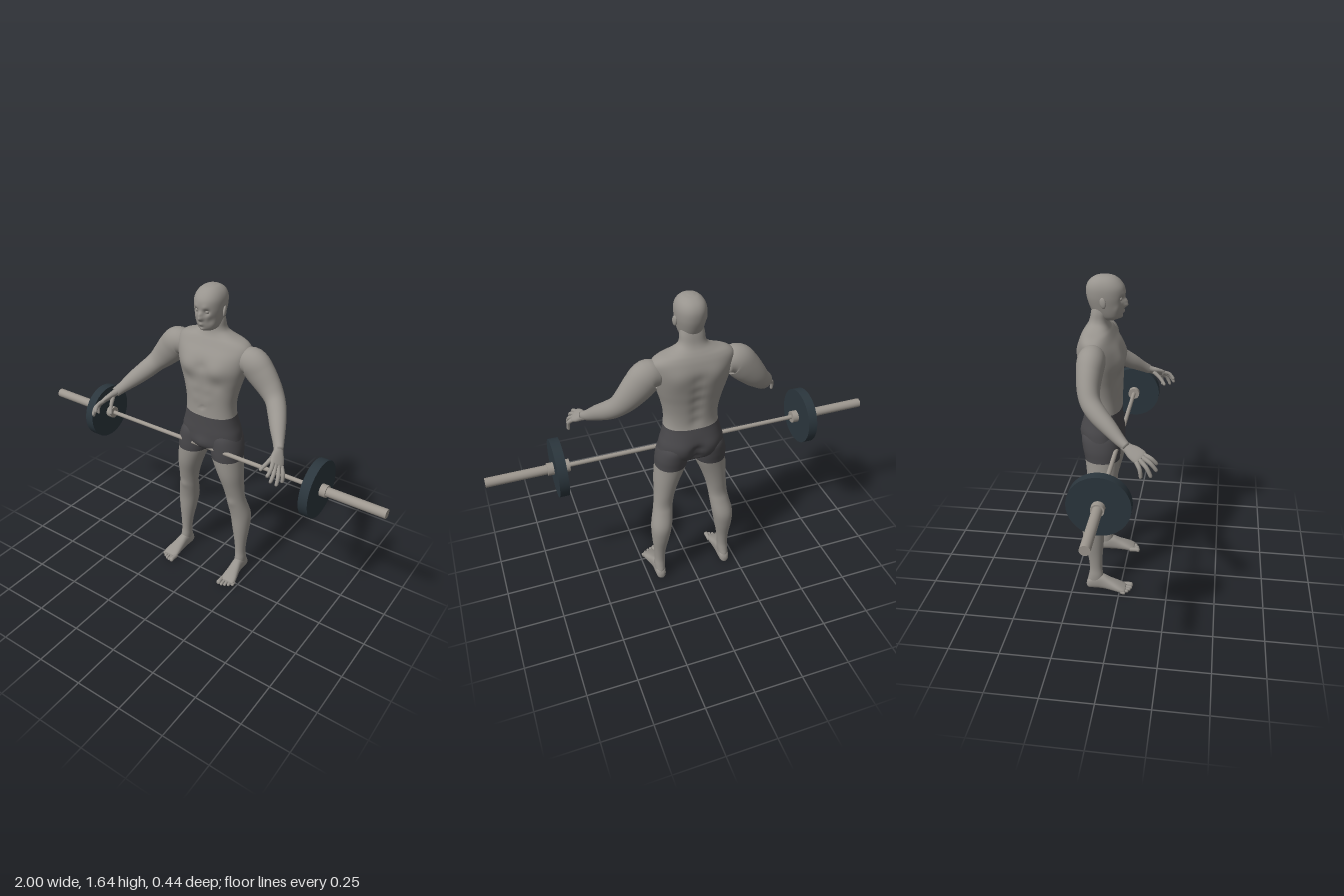
import * as THREE from 'three';

const V3 = (x, y, z) => new THREE.Vector3(x, y, z);
const material = (name, color) => { const m = new THREE.MeshStandardMaterial({ color }); m.name = name; return m; };
const UP = V3(0, 1, 0), FORWARD = V3(0, 0, 1);

// Skin a run of oval cross-sections [x, y, z, radiusU, radiusV].
// along: fixed ring direction, or null to follow the path. ref: direction of radiusU.
// bumps: [x, y, z, reach, dx, dy, dz] push nearby points. splitY: height of a colour change.
function loft(stations, { along = null, ref = V3(1, 0, 0), sides = 24, sub = 4, n = 2.2, bumps = [], splitY = null } = {}) {
  const centre = new THREE.CatmullRomCurve3(stations.map(s => V3(s[0], s[1], s[2])), false, 'catmullrom');
  const radius = new THREE.CatmullRomCurve3(stations.map(s => V3(s[3], s[4], 0)), false, 'catmullrom');
  const rows = (stations.length - 1) * sub, pos = [], idx = [];
  const pow = c => Math.sign(c) * Math.abs(c) ** (2 / n);
  let splitRow = rows + 2;
  for (let k = -1; k <= rows + 1; k++) {
    const t = Math.min(Math.max(k / rows, 0), 1), c = centre.getPoint(t), r = radius.getPoint(t);
    const T = along ? along.clone() : centre.getTangent(t);
    const U = ref.clone().addScaledVector(T, -ref.dot(T)).normalize(), W = U.clone().cross(T);
    if (k < 0 || k > rows) r.set(0, 0, 0);
    if (splitY !== null && c.y >= splitY) splitRow = Math.min(splitRow, k + 1);
    for (let j = 0; j < sides; j++) {
      const a = j / sides * Math.PI * 2;
      const p = c.clone().addScaledVector(U, r.x * pow(Math.cos(a))).addScaledVector(W, r.y * pow(Math.sin(a)));
      const q = p.clone();
      for (const [x, y, z, reach, dx, dy, dz] of bumps) {
        const f = Math.exp(-p.distanceToSquared(V3(x, y, z)) / (reach * reach));
        q.add(V3(dx * f, dy * f, dz * f));
      }
      pos.push(q.x, q.y, q.z);
    }
  }
  for (let i = 0; i < rows + 2; i++) for (let j = 0; j < sides; j++) {
    const a = i * sides + j, b = i * sides + (j + 1) % sides, d = a + sides, e = b + sides;
    idx.push(a, d, b, d, e, b);
  }
  const g = new THREE.BufferGeometry();
  g.setAttribute('position', new THREE.Float32BufferAttribute(pos, 3));
  g.setIndex(idx);
  g.computeVertexNormals();
  if (splitY !== null) {
    g.addGroup(0, splitRow * sides * 6, 0);
    g.addGroup(splitRow * sides * 6, idx.length - splitRow * sides * 6, 1);
  }
  return g;
}

// Level cross-sections given as [y, centreX, radiusX, frontZ, backZ]
const level = list => list.map(([y, x, rx, f, b]) => [x, y, (f + b) / 2, rx, (f - b) / 2]);
// The same bump on both sides of the body
const both = (x, ...rest) => [[x, ...rest], [-x, ...rest]];

function mirrored(g) {
  const m = g.clone().scale(-1, 1, 1), ix = m.index.array;
  for (let i = 0; i < ix.length; i += 3) [ix[i], ix[i + 1]] = [ix[i + 1], ix[i]];
  return m;
}

export function createModel() {
  const model = new THREE.Group();
  const skin = material('skin', 0x98948e), cloth = material('shorts cloth', 0x48474a);
  const steel = material('steel', 0x9d978f), rubber = material('plate rubber', 0x2b363d);
  const add = (name, g, m, parent = model) => {
    const mesh = new THREE.Mesh(g, m);
    mesh.name = name;
    parent.add(mesh);
    return mesh;
  };
  const pair = (name, g, m) => { add(name + 'Left', g, m); add(name + 'Right', mirrored(g), m); };

  // Torso with the top of the shorts, and the neck
  add('torso', loft(level([
    [0.755, 0, 0.06, -0.06, -0.13], [0.80, 0, 0.16, -0.014, -0.188], [0.87, 0, 0.164, -0.008, -0.205],
    [0.93, 0, 0.148, -0.01, -0.2], [0.99, 0, 0.136, -0.012, -0.188], [1.05, 0, 0.136, -0.012, -0.188],
    [1.12, 0, 0.15, -0.01, -0.196], [1.18, 0, 0.168, -0.006, -0.207], [1.24, 0, 0.185, -0.004, -0.215],
    [1.30, 0, 0.197, -0.018, -0.217], [1.345, 0, 0.198, -0.043, -0.208], [1.372, 0, 0.17, -0.058, -0.197],
    [1.39, 0, 0.115, -0.068, -0.186], [1.408, 0, 0.077, -0.074, -0.174], [1.43, 0, 0.062, -0.076, -0.165],
    [1.465, 0, 0.058, -0.074, -0.158], [1.5, 0, 0.05, -0.078, -0.15],
  ]), {
    along: UP, sides: 64, sub: 5, n: 2.3, splitY: 0.968,
    bumps: [
      ...both(0.085, 1.245, -0.01, 0.055, 0, 0, 0.014),                               // chest
      ...both(0.08, 1.165, -0.005, 0.035, 0, 0, -0.007),
      ...both(0.09, 1.28, -0.21, 0.055, 0, 0, -0.008),                               // shoulder blades
      ...both(0.035, 1.13, 0, 0.025, 0, 0, 0.004), ...both(0.035, 1.07, 0, 0.025, 0, 0, 0.004),
      [0, 1.25, 0, 0.025, 0, 0, -0.008], [0, 1.025, -0.01, 0.01, 0, 0, -0.008],       // breastbone, navel
      ...[1.02, 1.08, 1.14, 1.2, 1.26].map(y => [0, y, -0.2, 0.03, 0, 0, 0.01]),      // spine
      ...both(0.075, 0.865, -0.19, 0.06, 0, 0, -0.014),                              // buttocks
      [0, 0.86, -0.2, 0.025, 0, 0, 0.02], [0, 0.81, -0.19, 0.025, 0, 0, 0.025],
      [0, 0.82, -0.01, 0.035, 0, 0, 0.01],
    ],
  }), [cloth, skin]);

  // Head and face
  add('head', loft(level([
    [1.425, 0, 0.025, -0.045, -0.11], [1.437, 0, 0.042, -0.02, -0.13], [1.46, 0, 0.053, -0.008, -0.15],
    [1.50, 0, 0.063, -0.002, -0.168], [1.54, 0, 0.07, 0.003, -0.179], [1.58, 0, 0.07, 0.001, -0.18],
    [1.61, 0, 0.059, -0.018, -0.166], [1.63, 0, 0.038, -0.045, -0.138], [1.638, 0, 0.012, -0.078, -0.106],
  ]), {
    along: UP, sides: 72, sub: 8,
    bumps: [
      ...both(0.028, 1.53, -0.005, 0.015, 0, 0, -0.013), ...both(0.025, 1.552, 0, 0.014, 0, 0, 0.004),
      ...both(0.045, 1.485, -0.02, 0.02, -0.005, 0, -0.003),
      [0, 1.498, 0, 0.013, 0, 0, 0.021], [0, 1.519, 0, 0.011, 0, 0, 0.013], [0, 1.48, 0, 0.007, 0, 0, -0.004],
      [0, 1.468, -0.005, 0.012, 0, 0, 0.009], [0, 1.455, -0.01, 0.007, 0, 0, -0.004], [0, 1.44, -0.018, 0.014, 0, 0, 0.008],
    ],
  }), skin);
  pair('eye', new THREE.SphereGeometry(0.01, 14, 10).translate(0.027, 1.531, -0.017), skin);
  pair('ear', new THREE.SphereGeometry(1, 16, 12).scale(0.008, 0.026, 0.016).rotateY(0.3).rotateX(-0.15).translate(0.073, 1.52, -0.092), skin);

  // Legs with the legs of the shorts
  pair('leg', loft(level([
    [0.015, 0.186, 0.02, -0.1, -0.165], [0.05, 0.185, 0.026, -0.088, -0.172], [0.085, 0.184, 0.028, -0.09, -0.165],
    [0.13, 0.182, 0.027, -0.095, -0.16], [0.2, 0.18, 0.033, -0.092, -0.168], [0.29, 0.176, 0.046, -0.085, -0.188],
    [0.37, 0.17, 0.054, -0.08, -0.195], [0.45, 0.157, 0.051, -0.066, -0.172], [0.5, 0.15, 0.05, -0.058, -0.16],
    [0.57, 0.14, 0.054, -0.04, -0.164], [0.65, 0.125, 0.066, -0.02, -0.172], [0.74, 0.104, 0.08, -0.01, -0.184],
    [0.8, 0.098, 0.082, -0.009, -0.196], [0.86, 0.09, 0.072, -0.015, -0.2], [0.9, 0.08, 0.05, -0.04, -0.17],
  ]), { along: UP, sides: 32, sub: 5, n: 2.1, splitY: 0.735, bumps: [[0.152, 0.475, -0.06, 0.025, 0, 0, 0.005]] }), [skin, cloth]);

  // Feet and toes
  pair('foot', loft([
    [0.185, 0.022, -0.178, 0.01, 0.014], [0.185, 0.031, -0.165, 0.024, 0.031], [0.185, 0.042, -0.13, 0.028, 0.042],
    [0.186, 0.042, -0.09, 0.028, 0.042], [0.19, 0.032, -0.05, 0.033, 0.032], [0.194, 0.023, -0.01, 0.04, 0.023],
    [0.196, 0.016, 0.018, 0.041, 0.016], [0.197, 0.013, 0.032, 0.034, 0.011],
  ], { along: FORWARD, n: 2.4 }), skin);
  for (let i = 0; i < 5; i++) {
    const x = 0.163 + i * 0.0175 - (i ? 0 : 0.001), tip = 0.066 - i * i * 0.002, r = i ? 0.008 : 0.012;
    pair('toe' + (i + 1), loft([
      [x, 0.014, 0.008, r, r], [x, r + 0.003, tip - 0.02, r, r], [x, r + 0.001, tip - 0.006, r, r], [x, r, tip, r * 0.5, r * 0.5],
    ], { along: FORWARD, sides: 12 }), skin);
  }

  // Arms
  pair('arm', loft([
    [0.165, 1.285, -0.125, 0.055, 0.055], [0.215, 1.287, -0.125, 0.076, 0.066], [0.258, 1.245, -0.127, 0.077, 0.062],
    [0.313, 1.185, -0.123, 0.064, 0.053], [0.355, 1.14, -0.106, 0.051, 0.047], [0.392, 1.1, -0.066, 0.047, 0.044],
    [0.43, 1.06, -0.012, 0.04, 0.037], [0.465, 1.022, 0.038, 0.029, 0.027], [0.488, 0.998, 0.074, 0.025, 0.02],
  ], { ref: V3(0.7, 0.7, 0.1), sides: 32, sub: 5, n: 2 }), skin);

  // Hands, fingers and thumbs
  pair('palm', loft([
    [0.48, 1.006, 0.06, 0.022, 0.018], [0.49, 0.995, 0.08, 0.025, 0.018], [0.502, 0.983, 0.105, 0.034, 0.016],
    [0.515, 0.97, 0.132, 0.036, 0.013], [0.521, 0.963, 0.144, 0.03, 0.009],
  ], { ref: V3(-0.5, 0.45, 0.3) }), skin);
  const fingers = [
    ['indexFinger', [0.502, 0.978, 0.145], [0.511, 0.936, 0.212]],
    ['middleFinger', [0.513, 0.97, 0.142], [0.53, 0.912, 0.213]],
    ['ringFinger', [0.524, 0.961, 0.134], [0.549, 0.89, 0.19]],
    ['littleFinger', [0.533, 0.953, 0.122], [0.555, 0.885, 0.145]],
    ['thumb', [0.482, 0.985, 0.1], [0.447, 0.922, 0.167]],
  ];
  for (const [name, from, to] of fingers) {
    const a = V3(...from), b = V3(...to);
    const at = (t, lift, r) => { const p = a.clone().lerp(b, t); return [p.x + lift, p.y + lift, p.z + lift * 0.6, r, r]; };
    const bend = name === 'thumb' ? 0.003 : 0.008;
    pair(name, loft([at(0, 0, 0.011), at(0.45, bend, 0.0098), at(0.75, bend * 0.6, 0.009), at(0.94, 0, 0.008), at(1, 0, 0.004)],
      { ref: V3(-0.5, 0.45, 0.3), sides: 12, n: 2 }), skin);
  }

  // Barbell: thin bar, sleeves, collars and plates
  const barbell = new THREE.Group();
  barbell.name = 'barbell';
  barbell.position.set(0, 0.798, -0.025);
  model.add(barbell);
  const rod = (name, r, x0, x1, m) =>
    add(name, new THREE.CylinderGeometry(r, r, Math.abs(x1 - x0), 40).rotateZ(Math.PI / 2).translate((x0 + x1) / 2, 0, 0), m, barbell);
  rod('bar', 0.011, -0.61, 0.61, steel);
  for (const s of [1, -1]) {
    rod('sleeve', 0.0235, s * 0.6, s, steel);
    rod('innerCollar', 0.031, s * 0.596, s * 0.628, steel);
    rod('plate', 0.144, s * 0.627, s * 0.674, rubber);
    rod('outerCollar', 0.031, s * 0.673, s * 0.705, steel);
  }
  return model;
}
